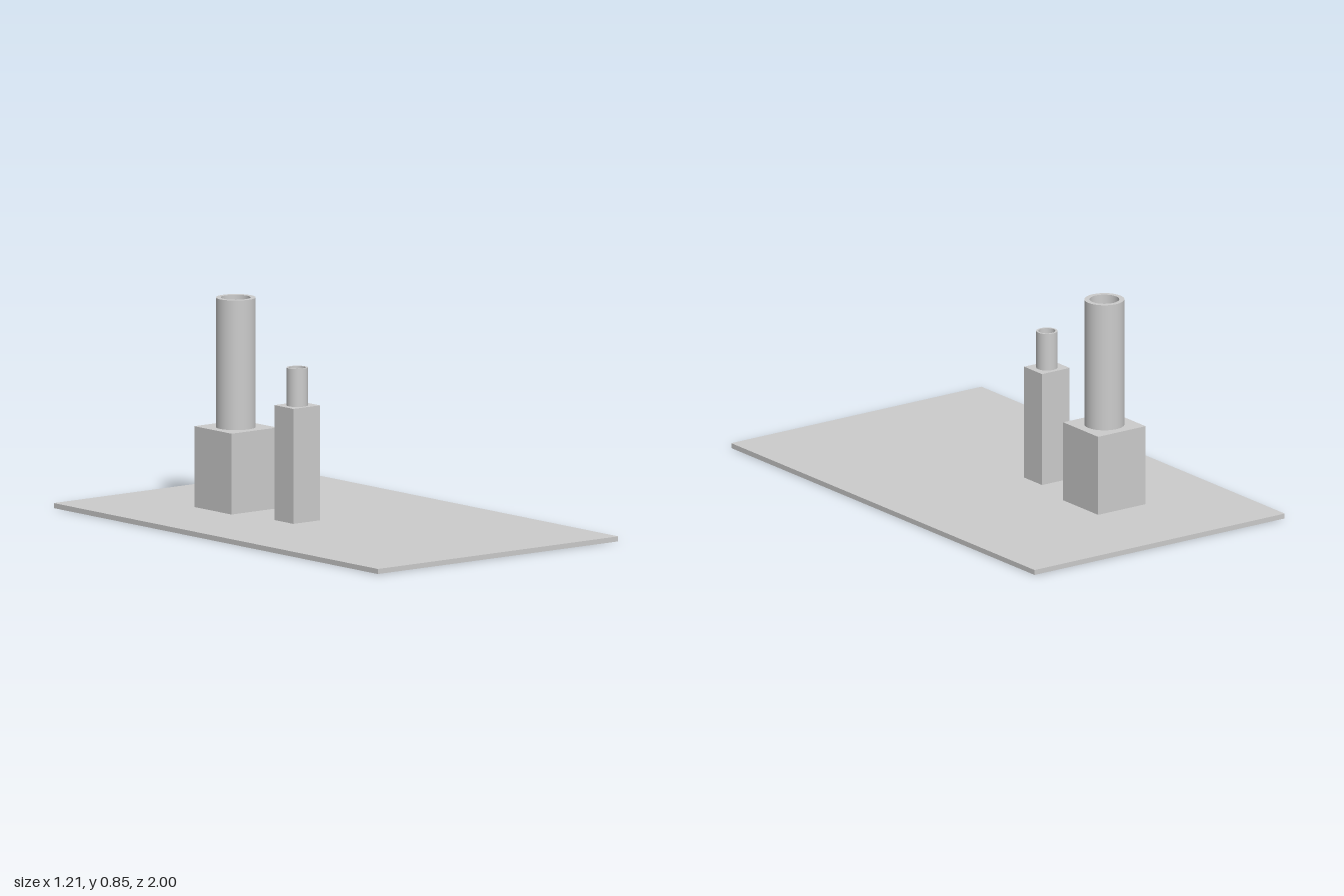
import * as THREE from 'three';

const material = new THREE.MeshStandardMaterial({ color: 0xcccccc });

function addBox(parent, name, w, d, y0, y1, x = 0, z = 0) {
  const mesh = new THREE.Mesh(new THREE.BoxGeometry(w, y1 - y0, d), material);
  mesh.name = name;
  mesh.position.set(x, (y0 + y1) / 2, z);
  parent.add(mesh);
}

// Hollow pipe: a ring extruded upwards, open through its full length
function addPipe(parent, name, outer, inner, y0, y1, x, z) {
  const ring = new THREE.Shape().absarc(0, 0, outer, 0, Math.PI * 2, false);
  ring.holes.push(new THREE.Path().absarc(0, 0, inner, 0, Math.PI * 2, true));
  const geometry = new THREE.ExtrudeGeometry(ring, { depth: y1 - y0, bevelEnabled: false, curveSegments: 48 });
  geometry.rotateX(-Math.PI / 2);
  // Smooth the walls: radial normals outside, inward normals in the bore
  const p = geometry.attributes.position, n = geometry.attributes.normal;
  for (let i = 0; i < p.count; i++) {
    if (Math.abs(n.getY(i)) > 0.5) continue;
    const r = Math.hypot(p.getX(i), p.getZ(i));
    const s = (r > (outer + inner) / 2 ? 1 : -1) / r;
    n.setXYZ(i, p.getX(i) * s, 0, p.getZ(i) * s);
  }
  const mesh = new THREE.Mesh(geometry, material);
  mesh.name = name;
  mesh.position.set(x, y0, z);
  parent.add(mesh);
}

// Square pedestal with a pipe standing on it
function chimney(name, { x, z, w, d, boxTop, pipeTop, outer, inner }) {
  const group = new THREE.Group();
  group.name = name;
  addBox(group, 'pedestal', w, d, 0.02, boxTop, x, z);
  addPipe(group, 'pipe', outer, inner, boxTop, pipeTop, x, z);
  return group;
}

export function createModel() {
  const model = new THREE.Group();
  model.name = 'chimneysOnSlab';
  addBox(model, 'baseSlab', 1.212, 2, 0, 0.02);
  model.add(
    chimney('largeChimney', { x: -0.124, z: -0.467, w: 0.23, d: 0.23, boxTop: 0.34, pipeTop: 0.853, outer: 0.078, inner: 0.058 }),
    chimney('smallChimney', { x: -0.124, z: -0.088, w: 0.134, d: 0.118, boxTop: 0.475, pipeTop: 0.625, outer: 0.042, inner: 0.033 }),
  );
  return model;
}
